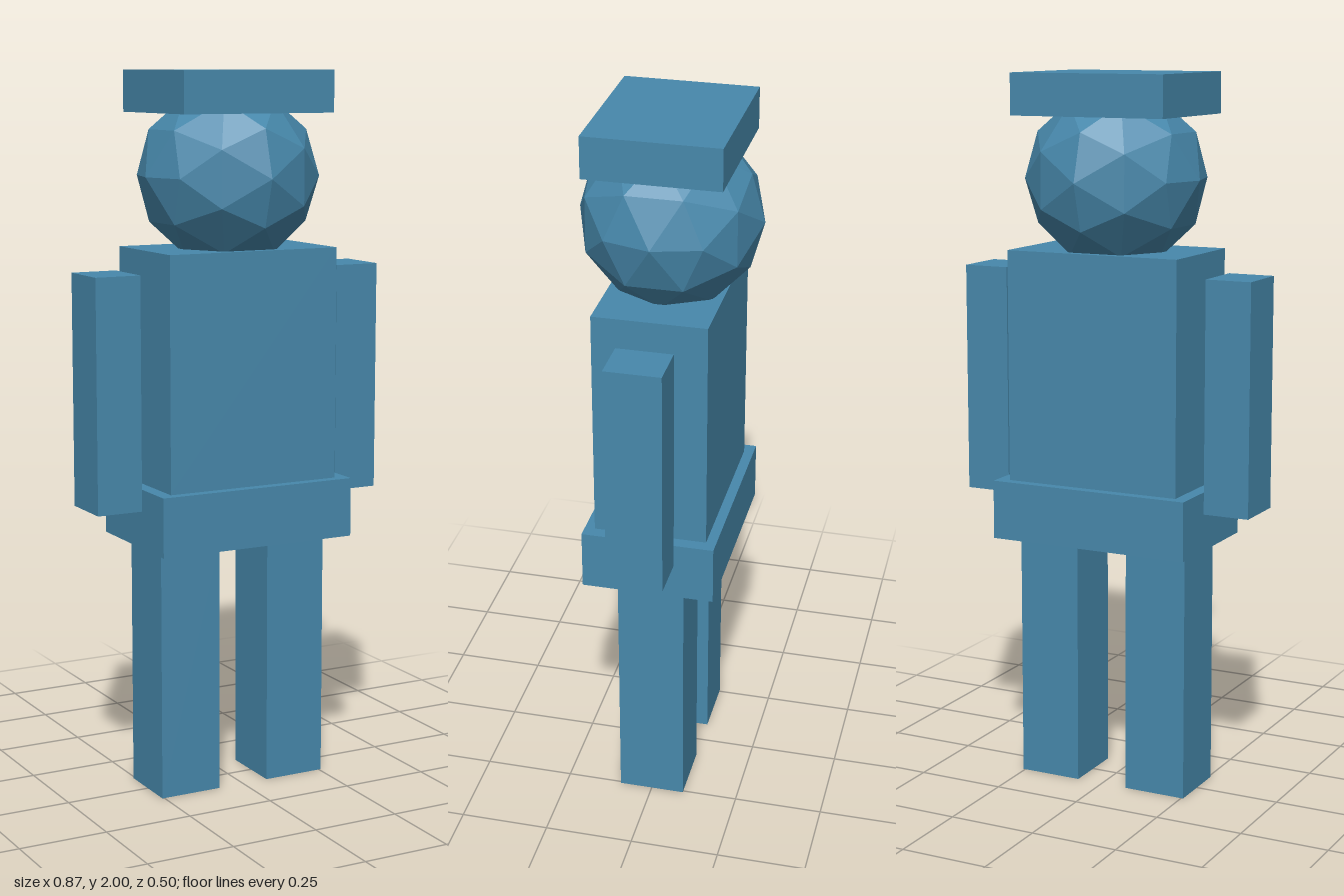
import * as THREE from 'three';

export function createModel() {
  const model = new THREE.Group();
  model.name = 'blockFigure';
  const material = new THREE.MeshStandardMaterial({ color: 0x4788ab, flatShading: true });

  function add(name, geometry, x, y) {
    const mesh = new THREE.Mesh(geometry, material);
    mesh.name = name;
    mesh.position.set(x, y, 0);
    model.add(mesh);
  }

  // Box centred on z = 0, spanning y0 to y1
  function box(name, width, depth, y0, y1, x = 0) {
    add(name, new THREE.BoxGeometry(width, y1 - y0, depth), x, (y0 + y1) / 2);
  }

  // Body
  box('hips', 0.585, 0.368, 0.71, 0.875);
  box('torso', 0.512, 0.312, 0.875, 1.52);

  // Faceted head, sunk slightly into torso and hat
  add('head', new THREE.IcosahedronGeometry(0.25, 1), 0, 1.716);
  box('hat', 0.454, 0.368, 1.886, 2);

  // Limbs, left is +x
  for (const [side, s] of [['left', 1], ['right', -1]]) {
    box(side + 'Leg', 0.18, 0.187, 0, 0.71, s * 0.166);
    box(side + 'Arm', 0.131, 0.155, 0.82, 1.462, s * 0.37);
  }

  return model;
}
